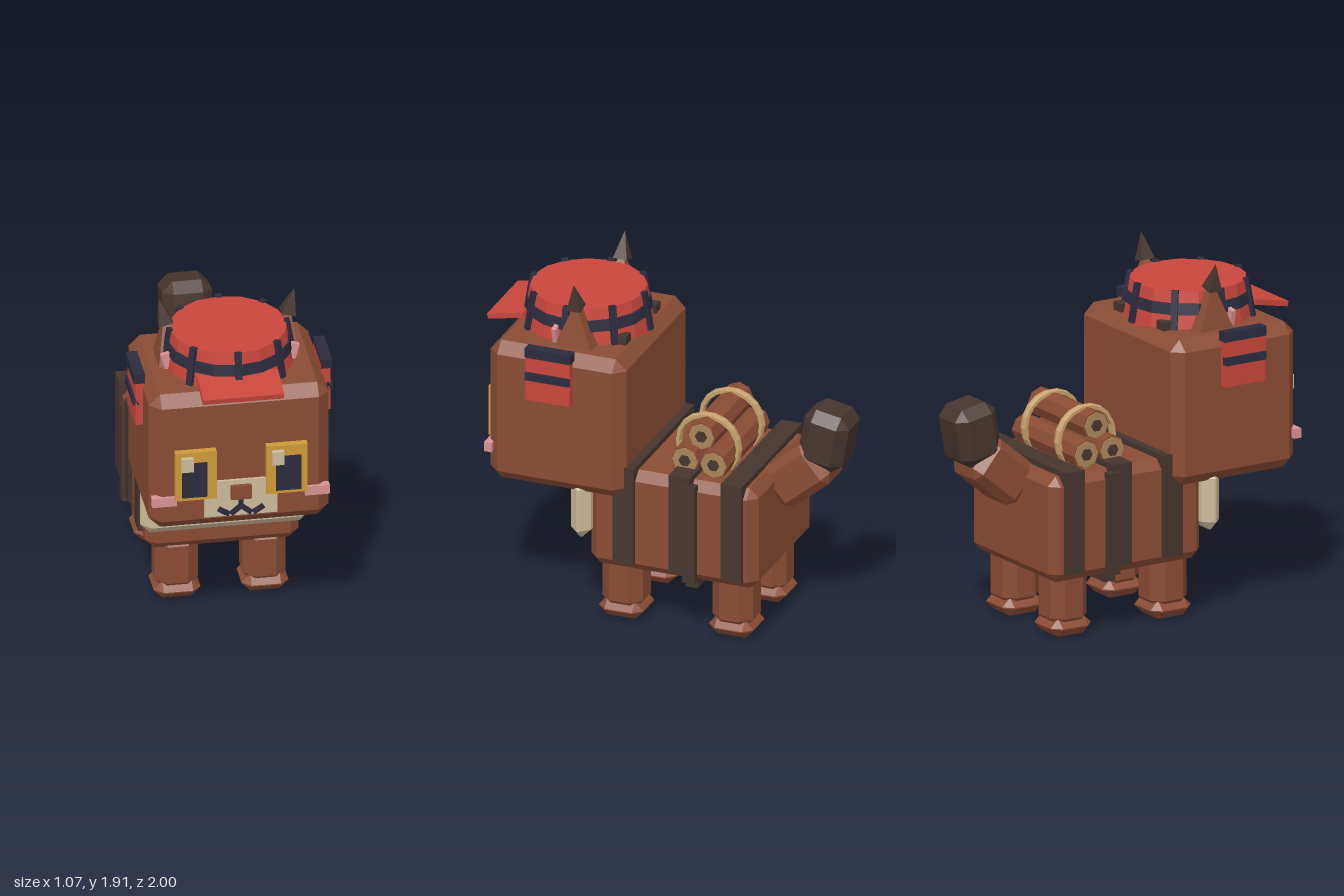
import * as THREE from 'three';
import { ConvexGeometry } from 'three/addons/geometries/ConvexGeometry.js';

const mat = (name, color) => {
  const m = new THREE.MeshStandardMaterial({ color });
  m.name = name;
  return m;
};

export function createModel() {
  const model = new THREE.Group();
  model.name = 'cat';
  const brown = mat('brown fur', 0x8a4c34);
  const dark = mat('dark brown', 0x46352e);
  const cream = mat('cream', 0xcdbb9a);
  const red = mat('red', 0xc8463c);
  const navy = mat('navy', 0x2b2b3d);
  const gold = mat('gold', 0xcf9a36);
  const pink = mat('pink', 0xd89292);
  const rope = mat('rope', 0xc4a06c);
  const logEnd = mat('cut wood', 0xa9855a);

  const add = (name, geometry, material, x = 0, y = 0, z = 0, parent = model) => {
    const m = new THREE.Mesh(geometry, material);
    m.name = name;
    m.position.set(x, y, z);
    parent.add(m);
    return m;
  };
  // Faceted normals for built-in round shapes
  const flat = (g) => {
    const f = g.index ? g.toNonIndexed() : g;
    f.computeVertexNormals();
    return f;
  };
  // Box given by its limits on each axis
  const block = (name, material, [x0, x1], [y0, y1], [z0, z1]) =>
    add(name, new THREE.BoxGeometry(x1 - x0, y1 - y0, z1 - z0), material,
      (x0 + x1) / 2, (y0 + y1) / 2, (z0 + z1) / 2);
  // Same, mirrored to both sides
  const pair = (name, material, [x0, x1], y, z) => {
    block(name + 'Left', material, [x0, x1], y, z);
    block(name + 'Right', material, [-x1, -x0], y, z);
  };
  // Box with every edge bevelled by c
  const chamferBox = (w, h, d, c) => {
    const pts = [];
    for (const sx of [-1, 1]) for (const sy of [-1, 1]) for (const sz of [-1, 1])
      for (let a = 0; a < 3; a++) {
        const half = [w / 2, h / 2, d / 2].map((v, i) => (i === a ? v : v - c));
        pts.push(new THREE.Vector3(sx * half[0], sy * half[1], sz * half[2]));
      }
    return new ConvexGeometry(pts);
  };

  // Body, chest and head
  add('body', chamferBox(0.82, 0.58, 0.95, 0.05), brown, 0, 0.61, -0.125);
  add('chest', chamferBox(0.9, 0.34, 0.112, 0.05), cream, 0, 0.64, 0.393);
  add('head', chamferBox(0.96, 0.8, 0.77, 0.06), brown, 0, 1.15, 0.513);

  // Legs and feet
  for (const x of [-0.235, 0.235]) for (const z of [0.2, -0.425]) {
    add('leg', chamferBox(0.23, 0.34, 0.23, 0.06), brown, x, 0.21, z);
    add('foot', chamferBox(0.25, 0.1, 0.25, 0.047), brown, x, 0.05, z);
  }

  // Tail
  add('tailBase', chamferBox(0.28, 0.35, 0.26, 0.045), brown, 0, 0.884, -0.707).rotation.x = -0.87;
  add('tailTip', chamferBox(0.266, 0.33, 0.255, 0.055), dark, 0, 1.107, -0.855).rotation.x = -0.18;

  // Straps over the back, and the girth belt
  for (const z of [0.142, -0.175, -0.47])
    block('strap', dark, [-0.43, 0.43], [0.37, 0.93], [z - 0.06, z + 0.06]);
  block('frontStrapSides', dark, [-0.45, 0.45], [0.33, 0.34], [-0.27, -0.2]);
  pair('girthSide', dark, [0.4, 0.45], [0.33, 0.89], [-0.27, -0.2]);
  block('girthBottom', dark, [-0.4, 0.4], [0.285, 0.33], [-0.27, -0.2]);

  // Bundle of logs with rope hoops
  const logs = [[0.97, -0.158, 0.3], [0.97, -0.32, 0.3], [1.11, -0.239, 0.27]];
  for (const [y, z, half] of logs) {
    const rod = (name, r, h, sides, material) => {
      const g = flat(new THREE.CylinderGeometry(r, r, 2 * h, sides));
      add(name, g, material, 0, y, z).rotation.z = Math.PI / 2;
    };
    rod('log', 0.08, half, 8, brown);
    rod('logCutEnds', 0.072, half + 0.006, 8, logEnd);
    rod('logCore', 0.034, half + 0.011, 6, dark);
  }
  for (const x of [-0.163, 0.163]) {
    const hoop = add('ropeHoop', flat(new THREE.TorusGeometry(0.171, 0.017, 6, 18)), rope, x, 1.017, -0.239);
    hoop.rotation.y = Math.PI / 2;
    hoop.scale.z = 1.6;
  }

  // Cap with band, ribs and visor
  const capR = (y) => 0.31 + 0.175 * (1.75 - y);
  const ring = (name, y0, y1, grow, material) =>
    add(name, flat(new THREE.CylinderGeometry(capR(y1) + grow, capR(y0) + grow, y1 - y0, 16)),
      material, 0, (y0 + y1) / 2, 0.51);
  ring('cap', 1.53, 1.75, 0, red);
  ring('capBand', 1.625, 1.685, 0.008, navy);
  for (let i = 0; i < 8; i++) {
    const rib = new THREE.Group();
    rib.name = 'capRib';
    rib.position.set(0, 1.65, 0.51);
    rib.rotation.y = i * Math.PI / 4;
    model.add(rib);
    add('rib', new THREE.BoxGeometry(0.036, 0.215, 0.03), navy, 0, 0, capR(1.65) + 0.003, rib).rotation.x = -0.17;
  }
  add('visor', new THREE.BoxGeometry(0.434, 0.03, 0.21), red, 0, 1.59, 0.895).rotation.x = 0.2;
  pair('capClip', dark, [0.175, 0.245], [1.55, 1.595], [0.2, 0.265]);

  for (const s of [-1, 1]) {
    // Ears leaning outwards
    const ear = new THREE.Group();
    ear.name = s > 0 ? 'earLeft' : 'earRight';
    ear.position.set(s * 0.267, 1.53, 0.45);
    ear.rotation.z = -s * 0.25;
    model.add(ear);
    const pyramid = (r, h) => flat(new THREE.ConeGeometry(r, h, 4).rotateY(Math.PI / 4));
    add('earBase', pyramid(0.172, 0.28), brown, 0, 0.14, 0, ear);
    add('earTip', pyramid(0.056, 0.15), dark, 0, 0.318, 0, ear);
    add('innerEar', new THREE.BoxGeometry(0.09, 0.09, 0.025), pink, s * 0.03, 0.082, 0.112, ear);

    // Mouth strokes
    const stroke = (x0, y0, x1, y1) => {
      const len = Math.hypot(x1 - x0, y1 - y0);
      add('mouthStroke', new THREE.BoxGeometry(len, 0.026, 0.02), navy, s * (x0 + x1) / 2, (y0 + y1) / 2, 0.917)
        .rotation.z = s * Math.atan2(y1 - y0, x1 - x0);
    };
    stroke(0, 0.885, 0.055, 0.84);
    stroke(0.065, 0.84, 0.12, 0.875);

    // Eye highlights sit on the same side of both eyes
    const hx = s > 0 ? 0.16 : -0.325;
    block('eyeHighlight', cream, [hx, hx + 0.065], [1.135, 1.213], [0.935, 0.965]);
  }

  // Face
  pair('eye', gold, [0.133, 0.353], [0.95, 1.237], [0.89, 0.937]);
  pair('pupil', navy, [0.183, 0.318], [0.97, 1.175], [0.937, 0.945]);
  pair('cheek', pink, [0.343, 0.475], [0.91, 0.963], [0.872, 0.915]);
  block('muzzle', cream, [-0.195, 0.195], [0.825, 1.037], [0.89, 0.912]);
  block('nose', brown, [-0.055, 0.055], [0.93, 1.01], [0.9, 0.935]);
  block('mouthLine', navy, [-0.012, 0.012], [0.87, 0.93], [0.907, 0.927]);

  // Side flaps of the cap
  pair('sideFlap', red, [0.47, 0.522], [1.276, 1.55], [0.41, 0.66]);
  pair('flapTop', navy, [0.47, 0.53], [1.525, 1.578], [0.403, 0.663]);
  pair('flapStripe', navy, [0.5, 0.534], [1.395, 1.44], [0.41, 0.66]);

  return model;
}
